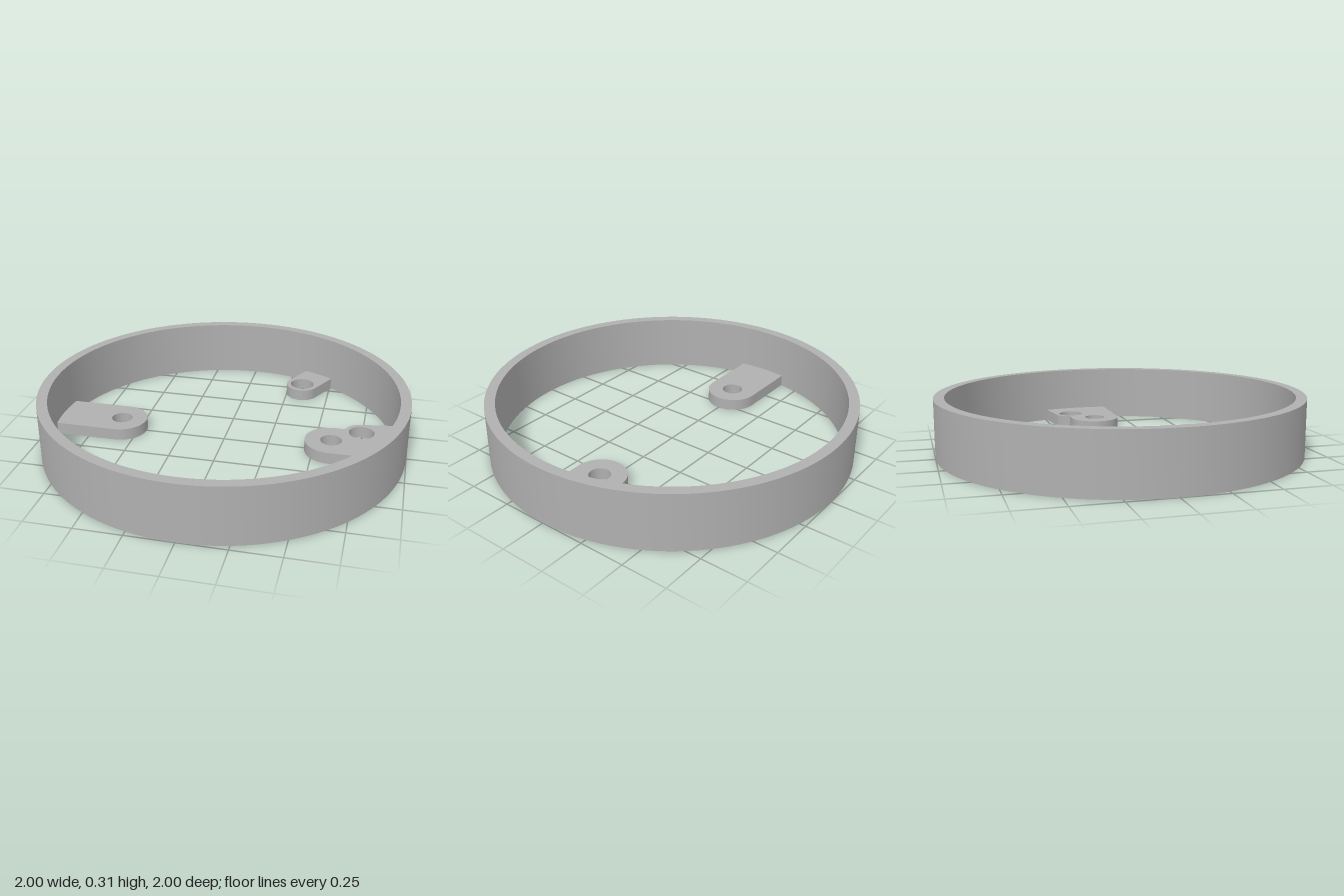
import * as THREE from 'three';
import { toCreasedNormals } from 'three/addons/utils/BufferGeometryUtils.js';

const INNER = 0.943, HEIGHT = 0.315, TAB_HEIGHT = 0.065;
const JOIN = INNER + 0.004; // tabs run slightly into the wall
const WIDE = 0.143, NARROW = 0.095; // half widths of the two kinds of tab

function addHole(shape, x, y, r) {
  const hole = new THREE.Path();
  hole.absarc(x, y, r, 0, Math.PI * 2, true);
  shape.holes.push(hole);
}

// Round-ended tab pointing along +x, rooted on the ring wall
function tabShape(holeX, half, holeR) {
  const a = Math.asin(half / JOIN);
  const s = new THREE.Shape();
  s.absarc(0, 0, JOIN, -a, a, false);
  s.absarc(holeX, 0, half, Math.PI / 2, Math.PI * 1.5, false);
  s.closePath();
  addHole(s, holeX, 0, holeR);
  return s;
}

// Wide tab merged with a narrow tab beside it
function doubleTabShape() {
  const tilt = Math.atan2(0.12, 0.75), r = 0.76;
  const cx = r * Math.cos(tilt), cy = r * Math.sin(tilt);
  const s = new THREE.Shape();
  s.absarc(0, 0, JOIN, -Math.asin(WIDE / JOIN), tilt + Math.asin(NARROW / JOIN), false);
  s.absarc(cx, cy, NARROW, tilt + Math.PI / 2, Math.PI - Math.asin((WIDE - cy) / NARROW), false);
  s.absarc(0.595, 0, WIDE, Math.PI / 2, Math.PI * 1.5, false);
  s.closePath();
  addHole(s, 0.595, 0, 0.058);
  addHole(s, cx, cy, 0.07);
  return s;
}

export function createModel() {
  const model = new THREE.Group();
  model.name = 'mountingRing';
  const grey = new THREE.MeshStandardMaterial({ color: 0xb0b0b0 });
  grey.name = 'grey';

  function add(name, geometry, angle = 0) {
    const mesh = new THREE.Mesh(toCreasedNormals(geometry, 0.5), grey);
    mesh.name = name;
    mesh.rotation.y = angle;
    model.add(mesh);
  }

  function addTab(name, shape, angle) {
    const geometry = new THREE.ExtrudeGeometry(shape, { depth: TAB_HEIGHT, bevelEnabled: false, curveSegments: 32 });
    geometry.rotateX(-Math.PI / 2);
    add(name, geometry, angle);
  }

  // Outer band with a rectangular section
  const section = [[INNER, 0], [1, 0], [1, HEIGHT], [INNER, HEIGHT], [INNER, 0]];
  add('ringWall', new THREE.LatheGeometry(section.map(([x, y]) => new THREE.Vector2(x, y)), 128));

  // Screw tabs around the bottom of the wall
  addTab('rightTab', tabShape(0.595, WIDE, 0.058), Math.PI);
  addTab('leftDoubleTab', doubleTabShape(), 0);
  addTab('backTab', tabShape(0.76, NARROW, 0.07), Math.atan2(0.68, 0.343));

  return model;
}
